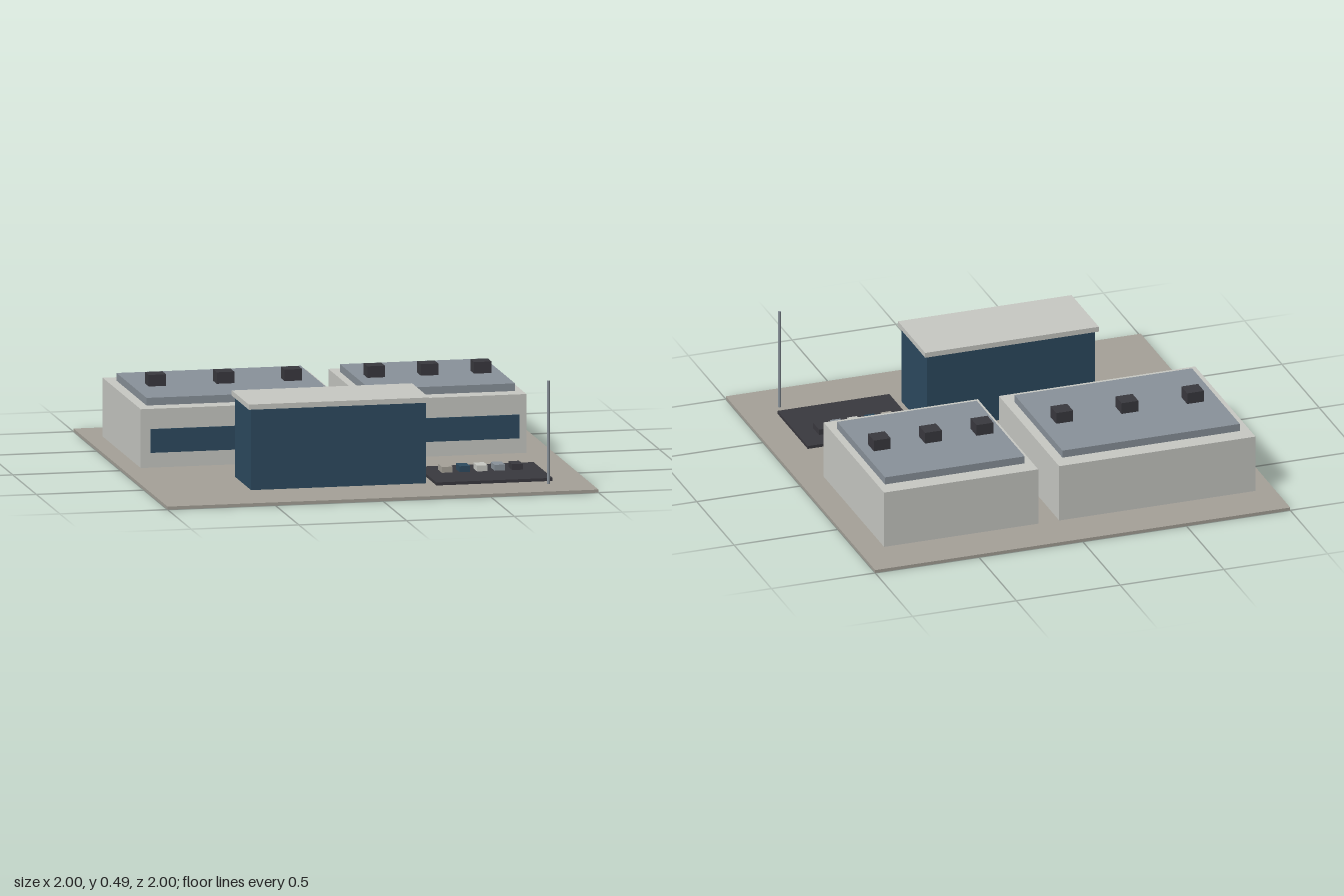
import * as THREE from 'three';

const mat = (name, color) => {
  const m = new THREE.MeshStandardMaterial({ color });
  m.name = name;
  return m;
};

export function createModel() {
  const paving = mat('paving', 0xa6a299);
  const cladding = mat('paleCladding', 0xc9cac5);
  const roofing = mat('blueGreyRoofing', 0x8a939b);
  const glass = mat('navyGlass', 0x2d4b60);
  const asphalt = mat('asphalt', 0x3a393f);

  const site = new THREE.Group();
  site.name = 'industrialSite';

  // Box from its minimum and maximum on each axis
  const box = (parent, name, material, [x0, x1], [y0, y1], [z0, z1]) => {
    const mesh = new THREE.Mesh(new THREE.BoxGeometry(x1 - x0, y1 - y0, z1 - z0), material);
    mesh.position.set((x0 + x1) / 2, (y0 + y1) / 2, (z0 + z1) / 2);
    mesh.name = name;
    parent.add(mesh);
  };
  const around = (c, size) => [c - size / 2, c + size / 2];
  const group = (name) => {
    const g = new THREE.Group();
    g.name = name;
    site.add(g);
    return g;
  };

  const ground = 0.014;
  box(site, 'groundSlab', paving, [-1, 1], [0, ground], [-1, 1]);

  // Two production halls with raised roofs, window bands and rooftop units
  const halls = [
    { name: 'largeHall', x: [-0.913, 0.033], roof: [-0.867, -0.012], units: [-0.756, -0.44, -0.125] },
    { name: 'smallHall', x: [0.134, 0.877], roof: [0.17, 0.843], units: [0.259, 0.507, 0.754] },
  ];
  for (const h of halls) {
    const hall = group(h.name);
    box(hall, 'hallWalls', cladding, h.x, [ground, 0.285], [-0.777, 0.031]);
    box(hall, 'raisedRoof', roofing, h.roof, [0.285, 0.32], [-0.695, -0.055]);
    box(hall, 'windowBand', glass, h.roof, [0.083, 0.192], [0.031, 0.037]);
    for (const x of h.units) {
      box(hall, 'rooftopUnit', asphalt, around(x, 0.081), [0.32, 0.373], around(-0.372, 0.08));
    }
  }

  // Glazed office block with an overhanging roof slab
  const office = group('officeBlock');
  box(office, 'officeWalls', glass, [-0.542, 0.269], [ground, 0.387], [0.339, 0.678]);
  box(office, 'officeRoof', cladding, [-0.555, 0.282], [0.387, 0.411], [0.325, 0.69]);

  // Car park with a row of parked cars
  const carPark = group('carPark');
  box(carPark, 'parkingSurface', asphalt, [0.304, 0.843], [ground, 0.028], [0.338, 0.744]);
  [paving, glass, cladding, roofing, asphalt].forEach((paint, i) => {
    box(carPark, 'parkedCar', paint, around(0.404 + i * 0.0815, 0.049), [0.028, 0.055], around(0.474, 0.08));
  });

  // Flagpole
  const pole = new THREE.Mesh(new THREE.CylinderGeometry(0.007, 0.007, 0.476, 12), roofing);
  pole.position.set(0.809, ground + 0.238, 0.811);
  pole.name = 'flagpole';
  site.add(pole);

  return site;
}
